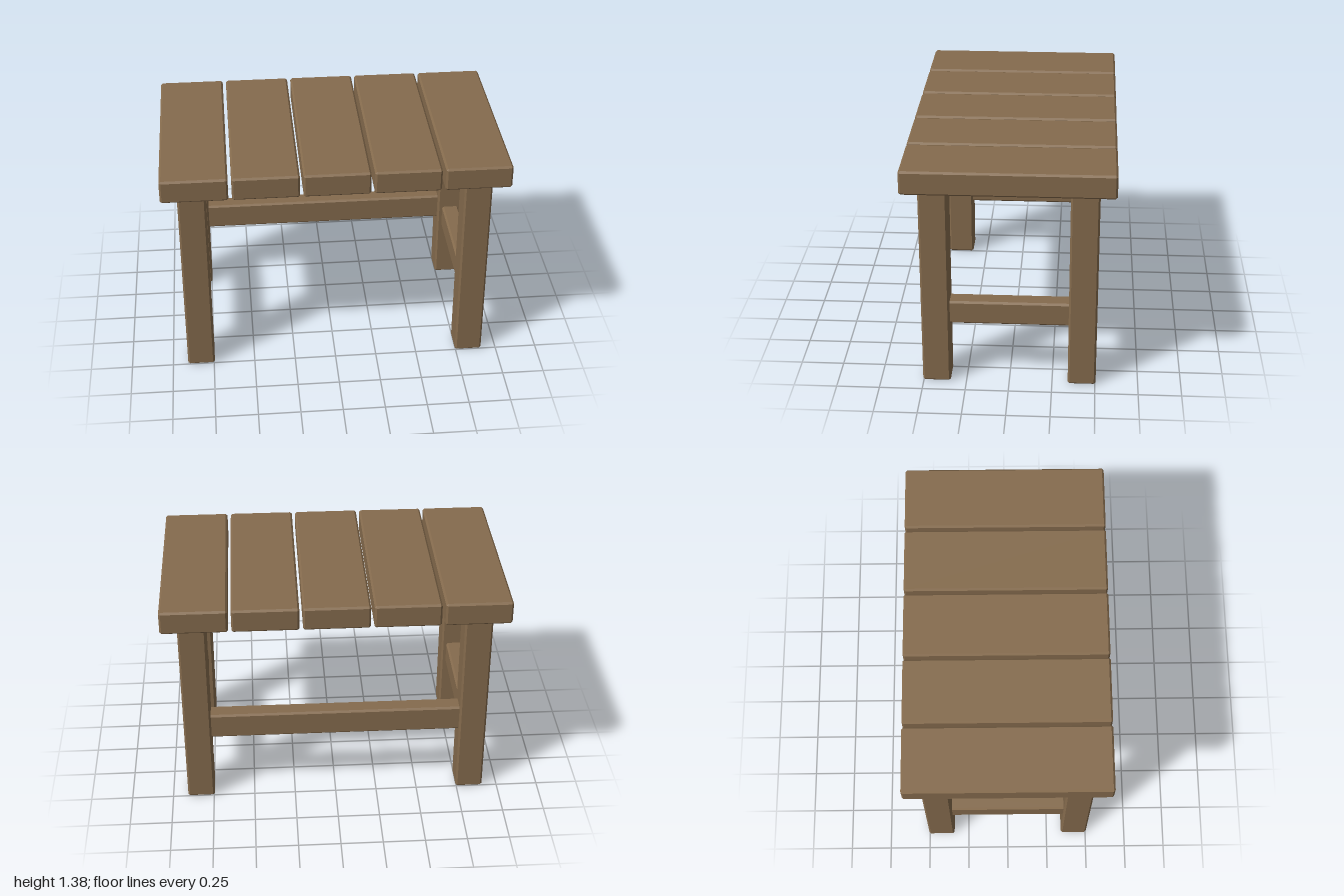
import * as THREE from 'three';
import { ConvexGeometry } from 'three/addons/geometries/ConvexGeometry.js';

// Box with flat chamfers on every edge
function chamferBox(w, h, d, c = 0.011) {
  const points = [];
  for (const x of [-1, 1]) for (const y of [-1, 1]) for (const z of [-1, 1]) {
    for (let axis = 0; axis < 3; axis++) {
      const inset = [c, c, c];
      inset[axis] = 0;
      points.push(new THREE.Vector3(
        x * (w / 2 - inset[0]), y * (h / 2 - inset[1]), z * (d / 2 - inset[2])));
    }
  }
  return new ConvexGeometry(points);
}

export function createModel() {
  const model = new THREE.Group();
  model.name = 'table';
  const wood = new THREE.MeshStandardMaterial({ color: 0x856b4d });
  wood.name = 'brown wood';

  const add = (name, geometry, x, y, z) => {
    const mesh = new THREE.Mesh(geometry, wood);
    mesh.name = name;
    mesh.position.set(x, y, z);
    model.add(mesh);
  };

  // Table top: five planks with narrow gaps
  const plank = chamferBox(0.384, 0.14, 1.19);
  for (let i = -2; i <= 2; i++) add('topPlank', plank, i * 0.404, 1.305, 0);

  // Four square legs
  const leg = chamferBox(0.163, 1.237, 0.163);
  for (const x of [-0.827, 0.827]) {
    for (const z of [-0.423, 0.423]) add(z > 0 ? 'frontLeg' : 'backLeg', leg, x, 0.6185, z);
  }

  // Side rails, and one higher rail at the back
  const sideRail = chamferBox(0.105, 0.143, 0.74);
  for (const x of [-0.827, 0.827]) add('sideRail', sideRail, x, 0.443, 0);
  add('backRail', chamferBox(1.55, 0.16, 0.105), 0, 0.5, -0.424);

  return model;
}
